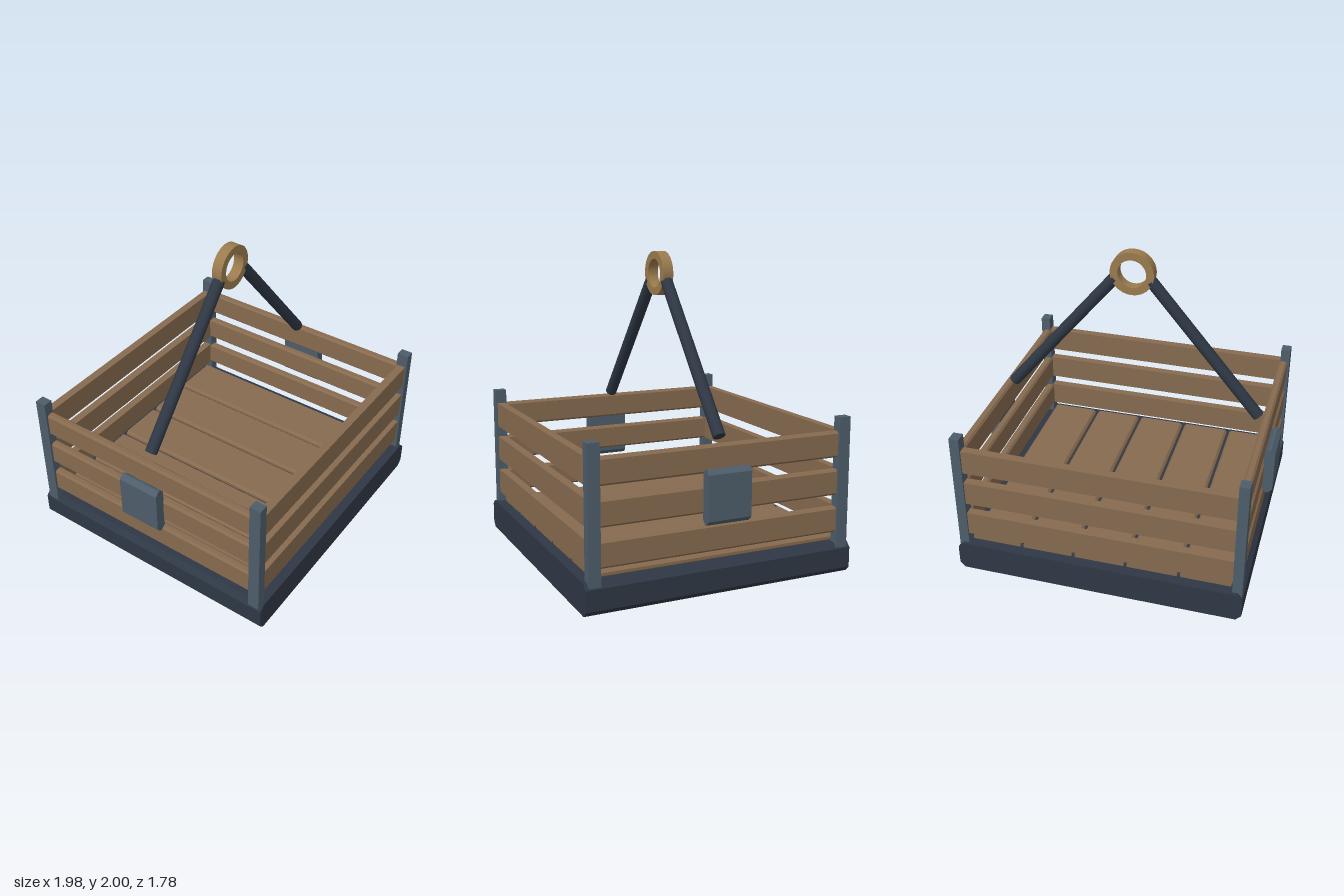
import * as THREE from 'three';

const paint = (name, color) => {
  const m = new THREE.MeshStandardMaterial({ color });
  m.name = name;
  return m;
};

export function createModel() {
  const wood = paint('wood', 0x866a4f);
  const darkSteel = paint('darkSteel', 0x2e3744);
  const blueSteel = paint('blueSteel', 0x4d5d6a);
  const brass = paint('brass', 0x9a7b4e);
  const group = new THREE.Group();
  group.name = 'liftingCrate';

  const add = (name, geometry, material) => {
    const mesh = new THREE.Mesh(geometry, material);
    mesh.name = name;
    group.add(mesh);
    return mesh;
  };

  // Block whose four edges along z are chamfered by c
  const block = (name, material, [x0, x1], [y0, y1], [z0, z1], c) => {
    const outline = [
      [x0 + c, y0], [x1 - c, y0], [x1, y0 + c], [x1, y1 - c],
      [x1 - c, y1], [x0 + c, y1], [x0, y1 - c], [x0, y0 + c],
    ].map(([x, y]) => new THREE.Vector2(x, y));
    const g = new THREE.ExtrudeGeometry(new THREE.Shape(outline), { depth: z1 - z0, bevelEnabled: false });
    g.translate(0, 0, z0);
    return add(name, g, material);
  };
  // Range on either side of the centre plane
  const side = (s, a, b) => (s > 0 ? [a, b] : [-b, -a]);

  // Base and floor
  block('base', darkSteel, [-0.942, 0.942], [0, 0.2], [-0.89, 0.89], 0.035);
  for (let i = -2; i <= 2; i++) {
    const x = i * 0.348;
    block('floorBoard', wood, [x - 0.164, x + 0.164], [0.19, 0.238], [-0.82, 0.82], 0.015);
  }

  // Corner posts
  for (const sx of [-1, 1]) {
    for (const sz of [-1, 1]) {
      const post = add('cornerPost', new THREE.BoxGeometry(0.064, 0.86, 0.076), blueSteel);
      post.position.set(sx * 0.904, 0.578, sz * 0.83);
    }
  }

  // Wall slats
  for (const y of [0.27, 0.511, 0.752]) {
    for (const s of [-1, 1]) {
      block(s > 0 ? 'frontSlat' : 'backSlat', wood, [-0.885, 0.885], [y, y + 0.165], side(s, 0.802, 0.857), 0.012);
      block(s > 0 ? 'leftSlat' : 'rightSlat', wood, side(s, 0.866, 0.922), [y, y + 0.165], [-0.8, 0.8], 0.013);
    }
  }

  for (const s of [-1, 1]) {
    // Side plates
    block('sidePlate', blueSteel, side(s, 0.918, 0.988), [0.45, 0.785], [-0.143, 0.143], 0.028);

    // Sling rods
    const low = new THREE.Vector3(s * 0.842, 0.945, 0);
    const high = new THREE.Vector3(s * 0.115, 1.812, 0);
    const dir = high.clone().sub(low);
    const rod = add('slingRod', new THREE.CylinderGeometry(0.039, 0.039, dir.length(), 12), darkSteel);
    rod.position.copy(low).add(high).multiplyScalar(0.5);
    rod.quaternion.setFromUnitVectors(new THREE.Vector3(0, 1, 0), dir.normalize());
  }

  // Lifting ring
  const ringShape = new THREE.Shape().absarc(0, 0, 0.142, 0, Math.PI * 2);
  ringShape.holes.push(new THREE.Path().absarc(0, 0, 0.092, 0, Math.PI * 2, true));
  const ringGeometry = new THREE.ExtrudeGeometry(ringShape, { depth: 0.07, bevelEnabled: false, curveSegments: 28 });
  ringGeometry.translate(0, 0, -0.035);
  add('liftingRing', ringGeometry, brass).position.y = 1.858;

  return group;
}
